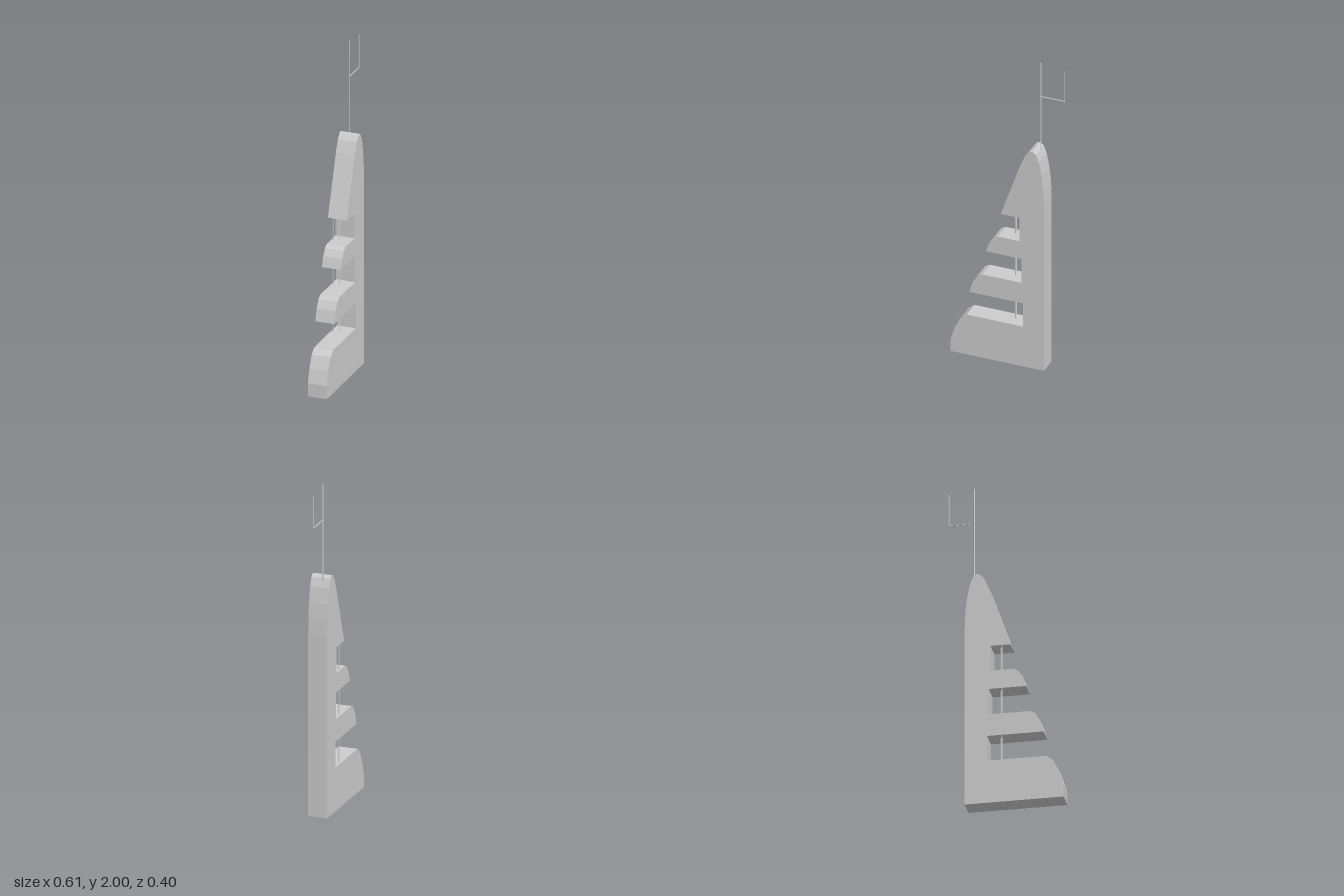
import * as THREE from 'three';

export function createModel() {
  const root = new THREE.Group();
  root.name = 'tower';
  const material = new THREE.MeshStandardMaterial({ color: 0xcccccc, flatShading: true });

  // Everything is built along x, then the whole tower is turned 30 degrees
  const model = new THREE.Group();
  model.name = 'turnedTower';
  model.rotation.y = Math.PI / 6;
  root.add(model);

  // Slab outline: base, two stepped terraces, pointed crown, straight spine
  const outline = [
    [0.26, 0], [0.26, 1.1], [0.256, 1.2], [0.247, 1.29], [0.23, 1.38], [0.21, 1.43],
    [0.19, 1.445], [0.17, 1.44], [0.145, 1.41], [0.115, 1.34], [-0.007, 0.985],
    [0.11, 0.985], [0.11, 0.83],
    [-0.026, 0.83], [-0.052, 0.815], [-0.078, 0.775], [-0.098, 0.715],
    [0.12, 0.715], [0.12, 0.555],
    [-0.121, 0.555], [-0.15, 0.54], [-0.18, 0.49], [-0.2, 0.42],
    [0.13, 0.42], [0.13, 0.265],
    [-0.217, 0.265], [-0.254, 0.235], [-0.289, 0.165], [-0.315, 0.08], [-0.315, 0],
  ];
  const shape = new THREE.Shape(outline.map(([x, y]) => new THREE.Vector2(x, y)));
  const slab = new THREE.Mesh(
    new THREE.ExtrudeGeometry(shape, { depth: 0.116, bevelEnabled: false }), material);
  slab.name = 'towerBody';
  slab.position.z = -0.066;
  model.add(slab);

  // Thin round rod between two points
  function rod(name, from, to, radius) {
    const a = new THREE.Vector3(...from);
    const b = new THREE.Vector3(...to);
    const dir = b.clone().sub(a);
    const mesh = new THREE.Mesh(
      new THREE.CylinderGeometry(radius, radius, dir.length(), 8), material);
    mesh.name = name;
    mesh.position.copy(a).add(b).multiplyScalar(0.5);
    mesh.quaternion.setFromUnitVectors(new THREE.Vector3(0, 1, 0), dir.normalize());
    model.add(mesh);
  }

  // Rooftop mast with its side antenna
  const z = -0.021;
  rod('mast', [0.212, 1.42, z], [0.212, 2, z], 0.004);
  rod('antennaArm', [0.212, 1.78, z], [0.361, 1.78, z], 0.003);
  rod('antenna', [0.359, 1.778, z], [0.359, 1.98, z], 0.003);

  // Columns crossing each open terrace
  for (const [y0, y1] of [[0.26, 0.425], [0.55, 0.72], [0.825, 0.99]]) {
    rod('rearColumn', [0.045, y0, -0.055], [0.045, y1, -0.055], 0.004);
    rod('frontColumn', [0.057, y0, -0.021], [0.057, y1, -0.021], 0.004);
  }
  return root;
}
